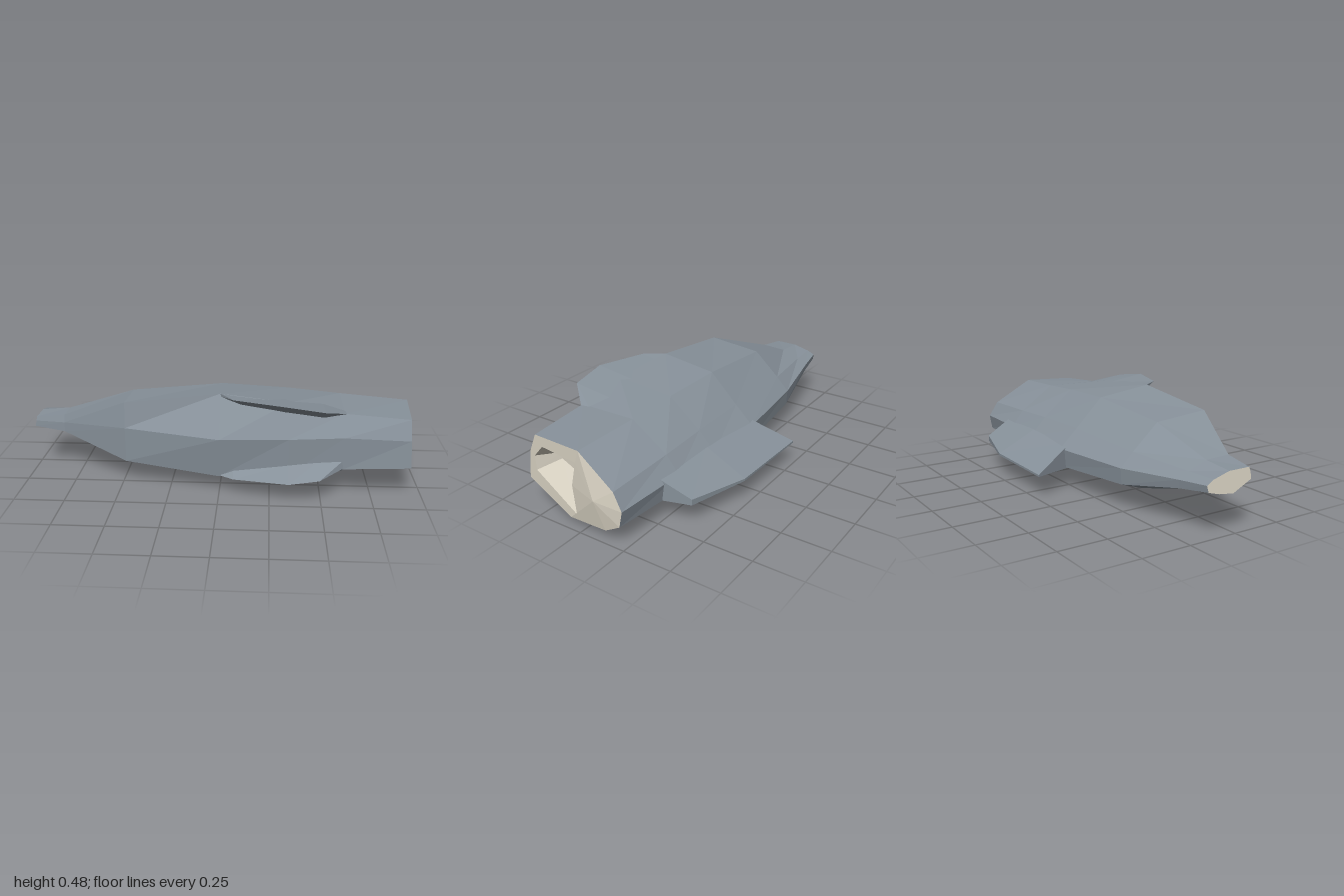
import * as THREE from 'three';

const skin = new THREE.MeshStandardMaterial({ color: 0x87919a });
skin.name = 'slate skin';
const flesh = new THREE.MeshStandardMaterial({ color: 0xd3cdbe });
flesh.name = 'pale flesh';
skin.flatShading = flesh.flatShading = true;

// Cross-sections: x, then [z, y] pairs running from the top front edge,
// down the front, along the belly, up the back and to the ridge.
const sections = [
  [-1.0, [[.085, .287], [.09, .265], [.09, .235], [-.02, .19], [-.1, .2], [-.155, .215], [-.16, .245], [-.12, .265], [-.03, .287]]],
  [-.83, [[.10, .305], [.11, .265], [.11, .215], [-.02, .165], [-.11, .18], [-.18, .195], [-.185, .235], [-.13, .265], [-.03, .30]]],
  [-.48, [[.25, .43], [.27, .30], [.265, .12], [.02, .07], [-.12, .09], [-.245, .13], [-.25, .21], [-.18, .28], [-.04, .405]]],
  [0, [[.25, .485], [.38, .29], [.35, .085], [.05, .003], [-.12, .055], [-.29, .11], [-.30, .205], [-.2, .3], [-.05, .447]]],
  [.34, [[.29, .46], [.37, .295], [.36, .105], [.05, .005], [-.12, .055], [-.28, .11], [-.29, .2], [-.2, .295], [-.03, .435]]],
  [.61, [[.30, .41], [.36, .305], [.355, .14], [.06, .02], [-.13, .055], [-.26, .11], [-.27, .2], [-.2, .285], [-.01, .415]]],
  [.95, [[.30, .385], [.34, .288], [.35, .15], [.08, .04], [-.14, .06], [-.225, .11], [-.24, .19], [-.19, .27], [.02, .395]]],
];

// Both cut ends are slanted
const cutX = (z, y) => .977 - .08 * z - .05 * y;
const tailX = (y) => -1 + (y - .19) * .2;

function mesh(name, points, material) {
  const geometry = new THREE.BufferGeometry();
  geometry.setAttribute('position', new THREE.Float32BufferAttribute(points.flat(), 3));
  geometry.computeVertexNormals();
  const m = new THREE.Mesh(geometry, material);
  m.name = name;
  return m;
}

// Skin between successive closed rings of [x, y, z] points
function loft(rings) {
  const out = [];
  for (let i = 0; i + 1 < rings.length; i++) {
    const a = rings[i], b = rings[i + 1], n = a.length;
    for (let j = 0; j < n; j++) {
      const k = (j + 1) % n;
      out.push(a[j], a[k], b[j], a[k], b[k], b[j]);
    }
  }
  return out;
}

// Fan around a centre point
function fan(ring, centre) {
  const c = centre || [0, 1, 2].map((d) => ring.reduce((s, p) => s + p[d], 0) / ring.length);
  return ring.flatMap((p, j) => [c, p, ring[(j + 1) % ring.length]]);
}

function closedLoft(rings) {
  return [...loft(rings), ...fan([...rings[0]].reverse()), ...fan(rings[rings.length - 1])];
}

export function createModel() {
  const group = new THREE.Group();
  group.name = 'headlessFish';

  // Body skin
  const last = sections.length - 1;
  const rings = sections.map(([x, pts], i) => pts.map(([z, y]) =>
    [i === 0 ? tailX(y) : i === last ? cutX(z, y) : x, y, z]));
  group.add(mesh('body', loft(rings), skin));
  group.add(mesh('tailCut', fan([...rings[0]].reverse()), flesh));

  // Cut face: a bulging rear lobe and a flat band around the cavity
  const onCut = ([z, y]) => [cutX(z, y), y, z];
  const hole = [[.04, .33], [.255, .337], [.31, .275], [.30, .205], [.04, .07], [.065, .21]];
  const rim = sections[last][1];
  const lobe = [...rim.slice(3), hole[0], hole[5], hole[4]];
  group.add(mesh('cutLobe', fan(lobe.map(onCut), [1.0, .2, -.09]), flesh));

  const band = [rim[8], rim[0], rim[1], rim[2], rim[3], hole[4], hole[3], hole[2], hole[1], hole[0]];
  const flat = band.map(([z, y]) => new THREE.Vector2(-z, y));
  const bandPoints = THREE.ShapeUtils.triangulateShape(flat, [])
    .flatMap((tri) => tri.map((i) => onCut(band[i])));
  group.add(mesh('cutBand', bandPoints, flesh));

  // Belly cavity narrowing inward
  const floor = hole.map(([z, y]) => [.83, .25 + (y - .25) * .45, .19 + (z - .19) * .5]);
  group.add(mesh('cavity', [...loft([hole.map(onCut), floor]), ...fan(floor)], flesh));

  // Rear fin, swept towards the tail
  group.add(mesh('rearFin', closedLoft([
    [[-.02, .105, -.25], [-.11, .112, -.485], [-.11, .122, -.485], [-.02, .235, -.25]],
    [[.36, .105, -.25], [.36, .112, -.475], [.36, .124, -.475], [.36, .235, -.25]],
    [[.72, .11, -.23], [.68, .115, -.39], [.68, .145, -.39], [.72, .225, -.23]],
  ]), skin));

  // Front fins: each section runs root top, edge, root underside
  group.add(mesh('upperFin', closedLoft([
    [[0, .482, .23], [0, .485, .25], [0, .47, .25]],
    [[.08, .472, .2], [.07, .485, .35], [.1, .445, .29]],
    [[.32, .453, .2], [.32, .484, .437], [.32, .41, .30]],
    [[.51, .428, .2], [.51, .455, .425], [.51, .385, .30]],
    [[.62, .408, .25], [.62, .41, .302], [.62, .37, .30]],
  ]), skin));
  group.add(mesh('lowerFin', closedLoft([
    [[.01, .10, .345], [.01, .09, .355], [.01, .08, .33]],
    [[.07, .12, .35], [.07, .092, .40], [.07, .08, .33]],
    [[.34, .16, .355], [.34, .105, .477], [.34, .085, .32]],
    [[.49, .178, .35], [.49, .12, .46], [.49, .095, .32]],
    [[.61, .185, .35], [.61, .145, .357], [.61, .125, .33]],
  ]), skin));

  return group;
}
